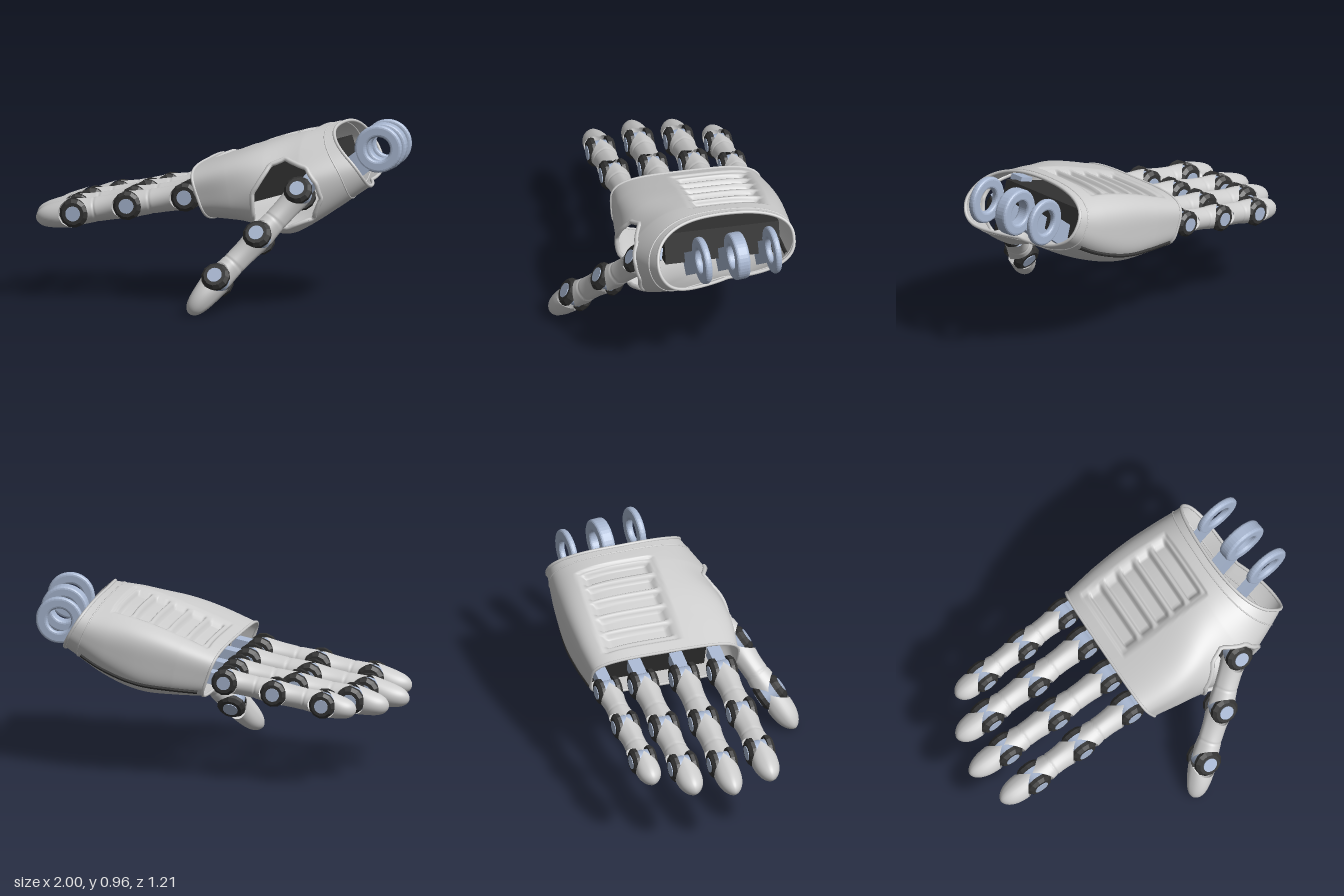
import * as THREE from 'three';

const V = (x, y, z) => new THREE.Vector3(x, y, z);
const { clamp, smoothstep } = THREE.MathUtils;
const mat = (color, extra = {}) => new THREE.MeshStandardMaterial({ color, ...extra });
const GREY = mat(0xcccccc, { side: THREE.DoubleSide });
const DARK = mat(0x333333, { flatShading: true });
const BLUE = mat(0xa9b8d2);

function mesh(name, geo, material, parent) {
  const m = new THREE.Mesh(geo, material);
  m.name = name;
  parent.add(m);
  return m;
}

// Loft closed around u, open along v
function loft(nU, nV, point) {
  const pts = [], idx = [];
  for (let j = 0; j <= nV; j++)
    for (let i = 0; i < nU; i++) pts.push(point(i / nU, j / nV));
  for (let j = 0; j < nV; j++)
    for (let i = 0; i < nU; i++) {
      const a = j * nU + i, b = j * nU + (i + 1) % nU;
      idx.push([a, b, a + nU], [b, b + nU, a + nU]);
    }
  return { pts, idx };
}

function toGeometry({ pts, idx }) {
  const g = new THREE.BufferGeometry().setFromPoints(pts);
  g.setIndex(idx.flat());
  g.computeVertexNormals();
  return g;
}

// ---- Palm shell: sections from knuckles to wrist ----
const tops = new THREE.CatmullRomCurve3([V(-0.09, 0.73, 0), V(0.1, 0.8, 0), V(0.3, 0.87, 0), V(0.48, 0.92, 0), V(0.62, 0.94, 0)]);
const bottoms = new THREE.CatmullRomCurve3([V(0.01, 0.45, 0), V(0.17, 0.445, 0), V(0.36, 0.45, 0), V(0.56, 0.51, 0), V(0.79, 0.645, 0)]);
const sides = new THREE.CatmullRomCurve3([V(-0.565, 0.245, 0), V(-0.59, 0.265, 0), V(-0.605, 0.265, 0), V(-0.605, 0.24, 0), V(-0.59, 0.155, 0)]);

function palmPoint(u, t) {
  const th = -2 * Math.PI * u, c = Math.cos(th), s = Math.sin(th);
  const n = 3.8 - 1.3 * smoothstep(t, 0.3, 1);
  const r = 1 / Math.pow(Math.abs(c) ** n + Math.abs(s) ** n, 1 / n);
  const side = sides.getPoint(t);
  const p = bottoms.getPoint(t).lerp(tops.getPoint(t), 0.5 + 0.5 * r * s);
  p.z = (side.x + side.y) / 2 + (side.y - side.x) / 2 * r * c;
  // flare below and beside the thumb, flattened shoulder above it
  const along = Math.exp(-(((t - 0.68) / 0.25) ** 2));
  const near = (angle, power) => along * Math.max(0, Math.cos(th - angle)) ** power;
  p.y -= 0.125 * near(-0.7, 14);
  p.z += 0.045 * near(-0.25, 6) - 0.065 * near(0.75, 6);
  // wrist edge reaches further out on the thumb side
  p.x += 0.16 * Math.max(0, c) * (0.5 - 0.4 * s) * smoothstep(t, 0.7, 1);
  // sunken back panel with five troughs
  if (s > 0.2) {
    const ramp = (v, lo, hi, w) => clamp(Math.min(v - lo, hi - v) / w, 0, 1);
    const k = p.x / 0.1, inRow = k > 0 && k < 5;
    p.y -= 0.012 * ramp(p.x, -0.025, 0.515, 0.008) * ramp(p.z, -0.49, -0.065, 0.015);
    if (inRow) p.y -= 0.028 * ramp(k - Math.floor(k), 0.1, 0.92, 0.12) * ramp(p.z, -0.465, -0.095, 0.02);
  }
  return p;
}

// Thumb opening, outlined as seen from +z
const OPENING = [[0.275, 0.47], [0.275, 0.62], [0.36, 0.77], [0.43, 0.8], [0.56, 0.76], [0.62, 0.68], [0.64, 0.6], [0.59, 0.49], [0.46, 0.44]]
  .map(([x, y]) => new THREE.Vector2(x, y));

function inOpening(p) {
  if (p.z < 0.12) return false;
  let inside = false;
  OPENING.forEach((a, i) => {
    const b = OPENING[(i + 1) % OPENING.length];
    if ((a.y > p.y) !== (b.y > p.y) && p.x < a.x + (b.x - a.x) * (p.y - a.y) / (b.y - a.y)) inside = !inside;
  });
  return inside;
}

function snapToOpening(p) {
  let best = null, bestD = Infinity;
  OPENING.forEach((a, i) => {
    const e = OPENING[(i + 1) % OPENING.length].clone().sub(a);
    const k = clamp(((p.x - a.x) * e.x + (p.y - a.y) * e.y) / e.lengthSq(), 0, 1);
    const q = a.clone().addScaledVector(e, k), d = Math.hypot(q.x - p.x, q.y - p.y);
    if (d < bestD) { bestD = d; best = q; }
  });
  p.x = best.x;
  p.y = best.y;
}

function tube(name, pts, radius, material, parent, closed = true) {
  const curve = new THREE.CatmullRomCurve3(pts, closed, 'centripetal');
  mesh(name, new THREE.TubeGeometry(curve, pts.length * 2, radius, 8, closed), material, parent);
}

function buildPalm() {
  const palm = new THREE.Group();
  palm.name = 'palm';
  const shell = loft(180, 120, palmPoint);

  // rim of the thumb opening, laid on the shell
  const rim = [];
  OPENING.forEach((a, i) => {
    const b = OPENING[(i + 1) % OPENING.length];
    for (let k = 0; k < 4; k++) {
      const q = a.clone().lerp(b, k / 4);
      let sum = 0, weight = 1e-12;
      for (const p of shell.pts) {
        if (p.z < 0.12) continue;
        const w = Math.exp(-((p.x - q.x) ** 2 + (p.y - q.y) ** 2) / 0.0002);
        sum += w * p.z;
        weight += w;
      }
      rim.push(V(q.x, q.y, sum / weight));
    }
  });

  // cut the opening and pull the cut edge onto its outline
  const inside = shell.pts.map(inOpening);
  shell.idx = shell.idx.filter(f => !f.every(i => inside[i]));
  shell.pts.forEach((p, i) => inside[i] && snapToOpening(p));
  mesh('palmShell', toGeometry(shell), GREY, palm);
  tube('thumbOpeningRim', rim, 0.013, GREY, palm);

  const loop = t => Array.from({ length: 60 }, (_, i) => palmPoint(i / 60, t));
  tube('wristRim', loop(1), 0.009, GREY, palm);
  tube('cuffSeam', loop(0.92), 0.004, GREY, palm);
  tube('knuckleRim', loop(0), 0.008, GREY, palm);
  const slot = Array.from({ length: 18 }, (_, i) => palmPoint(1 - 212 / 360, 0.04 + 0.05 * i));
  tube('sideSlot', slot, 0.012, DARK, palm, false);

  // inner frame and thumb mount
  const block = (name, size, pos, material) => {
    const b = mesh(name, new THREE.BoxGeometry(...size), material, palm);
    b.position.set(...pos);
    b.rotation.z = 0.29;
  };
  block('innerFrame', [0.6, 0.17, 0.62], [0.33, 0.665, -0.22], DARK);
  block('thumbMount', [0.1, 0.09, 0.06], [0.5, 0.73, 0.1], DARK);
  block('thumbMountCap', [0.08, 0.05, 0.08], [0.49, 0.8, 0.09], BLUE);
  return palm;
}

// ---- Wrist lugs: rounded ring with an arm running into the palm ----
function wristLug(x, y, z, width) {
  const lug = new THREE.Group();
  lug.name = 'wristLug';
  const bevel = Math.min(0.015, width * 0.4);
  const ring = new THREE.Shape().absarc(0, 0, 0.127 - bevel, 0, Math.PI * 2);
  ring.holes.push(new THREE.Path().absarc(0, 0, 0.064 + bevel, 0, Math.PI * 2, true));
  const geo = new THREE.ExtrudeGeometry(ring, { depth: width - 2 * bevel, bevelSize: bevel, bevelThickness: bevel, bevelSegments: 3, curveSegments: 20 });
  geo.translate(0, 0, bevel - width / 2);
  mesh('lugRing', geo, BLUE, lug);
  const arm = mesh('lugArm', new THREE.BoxGeometry(0.24, 0.12, width * 0.9).translate(-0.2, 0, 0), BLUE, lug);
  arm.rotation.z = 0.65;
  lug.position.set(x, y, z);
  lug.rotation.y = 0.12;
  return lug;
}

// ---- Fingers: local z runs along the bone, local x is the hinge pin ----
function boneGeometry(len, isTip) {
  return toGeometry(loft(40, 32, (u, v) => {
    const th = 2 * Math.PI * u, c = Math.cos(th), s = Math.sin(th);
    const start = 0.005 + 0.075 * Math.abs(c) ** 0.8;
    const ridge = 1 + 0.08 * Math.abs(s) ** 20;
    if (isTip) {
      const w = Math.sin(v * Math.PI / 2);
      const rx = 0.07 * Math.max(0, 1 - w ** 2.4) ** 0.58;
      const ry = 0.075 * (1 - 0.35 * w) * Math.sqrt(Math.max(0, 1 - w ** 6));
      return V(rx * c, ry * s * ridge, start + (len - start) * w);
    }
    // slight waist and a seam groove near the far end
    const z = start + (len - 2 * start) * v;
    const seam = 1 - 0.05 * Math.exp(-(((z / len - 0.62) / 0.02) ** 2));
    const r = 0.061 * (1 + 0.1 * (2 * v - 1) ** 2) * seam;
    return V(r * 1.06 * c, r * s * ridge, z);
  }));
}

function hinge(parent) {
  const disc = (name, r1, r2, w, sides, material, x) => {
    const geo = new THREE.CylinderGeometry(r1, r2, w, sides).rotateZ(-Math.PI / 2);
    mesh(name, geo, material, parent).position.x = x;
  };
  disc('hingeCore', 0.058, 0.058, 0.08, 20, BLUE, 0);
  disc('hingePin', 0.04, 0.04, 0.15, 20, BLUE, 0);
  for (const sgn of [-1, 1]) {
    disc('hingePad', 0.077, 0.077, 0.02, 12, DARK, sgn * 0.044);
    disc('hingePadBevel', sgn > 0 ? 0.06 : 0.077, sgn > 0 ? 0.077 : 0.06, 0.017, 12, DARK, sgn * 0.0625);
  }
}

function finger(name, joints, pinAxis, size = 1) {
  const g = new THREE.Group();
  g.name = name;
  for (let i = 0; i < joints.length - 1; i++) {
    const dir = joints[i + 1].clone().sub(joints[i]);
    const len = dir.length() / size;
    dir.normalize();
    const x = pinAxis.clone().addScaledVector(dir, -pinAxis.dot(dir)).normalize();
    const bone = new THREE.Group();
    bone.name = ['proximalBone', 'middleBone', 'fingertip'][i];
    bone.quaternion.setFromRotationMatrix(new THREE.Matrix4().makeBasis(x, dir.clone().cross(x), dir));
    bone.position.copy(joints[i]);
    bone.scale.setScalar(size);
    mesh('boneShell', boneGeometry(len, i === joints.length - 2), GREY, bone);
    hinge(bone);
    // link from the first hinge back into the palm
    if (i === 0) mesh('rootLink', new THREE.BoxGeometry(0.07, 0.07, 0.16).translate(0, 0, -0.08), BLUE, bone);
    g.add(bone);
  }
  return g;
}

export function createModel() {
  const hand = new THREE.Group();
  hand.name = 'mechanicalHand';
  hand.add(buildPalm());

  hand.add(wristLug(0.873, 0.836, -0.06, 0.04), wristLug(0.845, 0.82, -0.255, 0.075), wristLug(0.815, 0.81, -0.45, 0.036));

  // name, base z, tip z, joint x positions, size
  const fingers = [
    ['indexFinger', 0.135, 0.175, [-0.125, -0.44, -0.73, -0.945], 1],
    ['middleFinger', -0.075, -0.045, [-0.125, -0.46, -0.77, -1], 1],
    ['ringFinger', -0.3, -0.25, [-0.125, -0.45, -0.75, -0.95], 1],
    ['littleFinger', -0.495, -0.445, [-0.125, -0.39, -0.655, -0.83], 0.92],
  ];
  for (const [name, z0, z1, xs, size] of fingers) {
    const joints = xs.map(x => V(x, 0.592 + 0.177 * x, z0 + (z1 - z0) * (x - xs[0]) / (xs[3] - xs[0])));
    hand.add(finger(name, joints, V(0, 0, 1), size));
  }
  hand.add(finger('thumb', [V(0.515, 0.62, 0.2), V(0.33, 0.395, 0.34), V(0.14, 0.18, 0.475), V(0.015, 0.01, 0.58)], V(0, 0.5, 0.87)));
  return hand;
}
